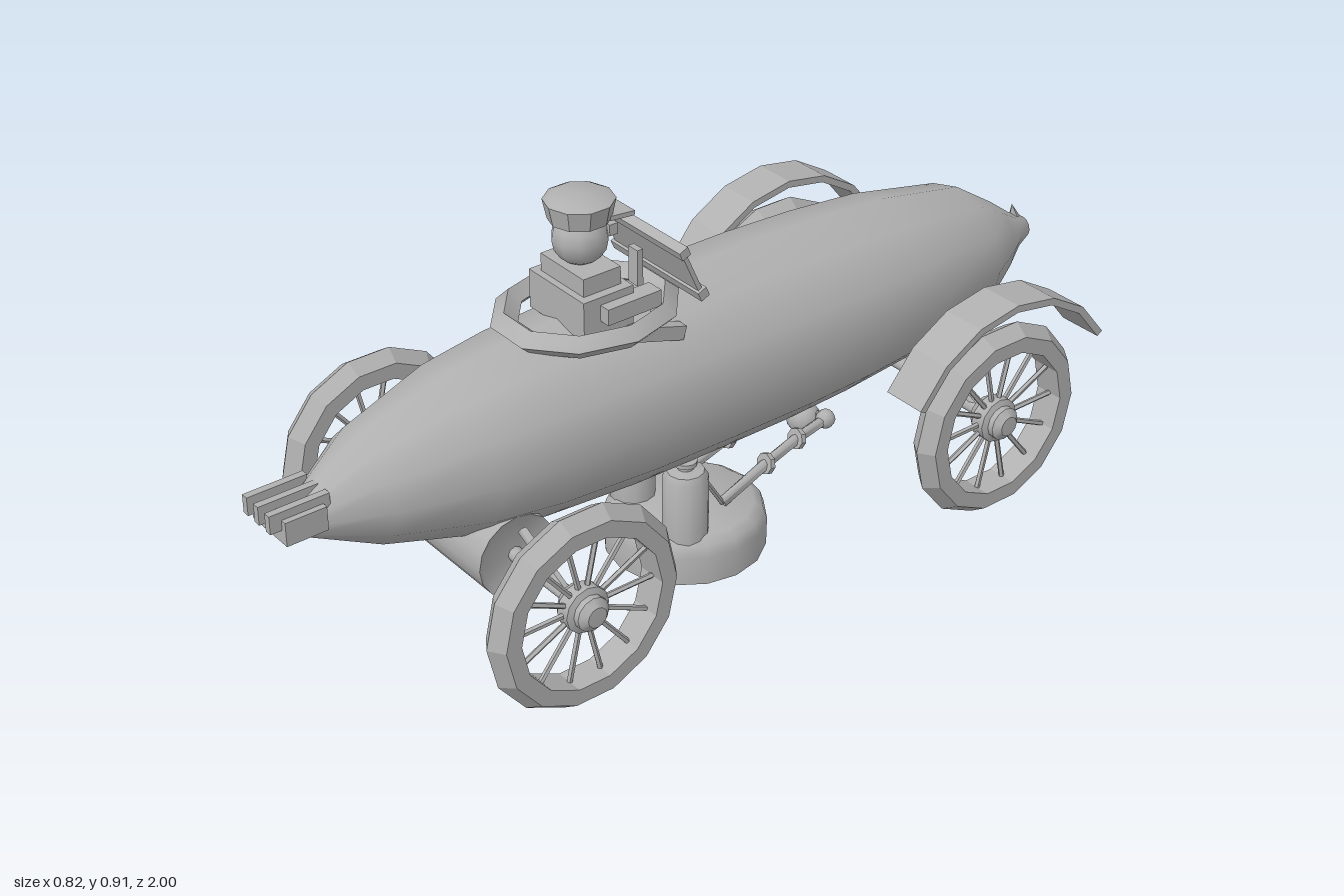
import * as THREE from 'three';
import { toCreasedNormals } from 'three/addons/utils/BufferGeometryUtils.js';

const gray = new THREE.MeshStandardMaterial({ color: 0xb0b0b0 });
gray.name = 'plain gray';

const V = (x, y, z) => new THREE.Vector3(x, y, z);
const crease = (geo, angle = 0.6) => toCreasedNormals(geo, angle);
const lathe = (pts, sides) => new THREE.LatheGeometry(pts.map(([r, y]) => new THREE.Vector2(r, y)), sides);
const box = (w, h, d) => new THREE.BoxGeometry(w, h, d);

function add(parent, name, geo, x = 0, y = 0, z = 0) {
  const mesh = new THREE.Mesh(geo, gray);
  mesh.name = name;
  mesh.position.set(x, y, z);
  parent.add(mesh);
  return mesh;
}

// Straight round bar between two points
function rod(parent, name, a, b, r, sides = 6) {
  const mesh = add(parent, name, crease(new THREE.CylinderGeometry(r, r, a.distanceTo(b), sides), 1.1));
  mesh.position.copy(a).lerp(b, 0.5);
  mesh.quaternion.setFromUnitVectors(V(0, 1, 0), b.clone().sub(a).normalize());
  return mesh;
}

// Wheel built around the y axis, then laid on its x axle with the outer face at +x
function makeWheel() {
  const wheel = new THREE.Group();
  const tire = [[0.165, -0.033], [0.2, -0.033], [0.222, 0], [0.2, 0.033], [0.165, 0.033], [0.165, -0.033]];
  add(wheel, 'tire', crease(lathe(tire, 14), 0.3));
  const hub = [[0, -0.035], [0.035, -0.035], [0.05, -0.015], [0.05, 0.015], [0.037, 0.02], [0.037, 0.033], [0.022, 0.046], [0, 0.047]];
  add(wheel, 'hub', crease(lathe(hub, 12)));
  for (let i = 0; i < 14; i++) {
    const a = ((i + 0.5) / 14) * Math.PI * 2;
    const c = Math.cos(a), s = Math.sin(a);
    rod(wheel, 'spoke', V(c * 0.03, 0, s * 0.03), V(c * 0.17, 0, s * 0.17), 0.006, 5);
  }
  wheel.rotation.z = -Math.PI / 2;
  return wheel;
}

// Arched mudguard strip
function fenderGeometry() {
  const shape = new THREE.Shape();
  const steps = 6, a0 = 0.5, a1 = Math.PI - 0.5;
  for (let i = 0; i <= steps; i++) {
    const a = a0 + (a1 - a0) * i / steps;
    shape[i ? 'lineTo' : 'moveTo'](0.3 * Math.cos(a), 0.295 * Math.sin(a));
  }
  for (let i = steps; i >= 0; i--) {
    const a = a0 + (a1 - a0) * i / steps;
    shape.lineTo(0.284 * Math.cos(a), 0.279 * Math.sin(a));
  }
  const geo = new THREE.ExtrudeGeometry(shape, { depth: 0.1, bevelEnabled: false });
  geo.translate(0, 0, -0.05);
  return crease(geo.rotateY(Math.PI / 2), 0.2);
}

export function createModel() {
  const car = new THREE.Group();
  car.name = 'torpedo car';

  // Torpedo hull
  const profile = [[0, -1], [0.025, -0.985], [0.045, -0.94], [0.085, -0.88], [0.148, -0.77], [0.188, -0.55],
    [0.202, -0.37], [0.208, -0.2], [0.208, 0], [0.206, 0.2], [0.194, 0.42], [0.175, 0.57], [0.118, 0.77], [0.045, 0.9], [0.022, 0.935], [0, 0.945]];
  const hull = lathe(profile, 12).rotateX(Math.PI / 2);
  // Both tips droop slightly
  const p = hull.attributes.position;
  for (let i = 0; i < p.count; i++) {
    const t = Math.max(0, Math.abs(p.getZ(i)) - 0.75) / 0.25;
    p.setY(i, p.getY(i) - 0.022 * t);
  }
  add(car, 'hull', hull, 0, 0.457, 0);
  add(car, 'tip cap', new THREE.SphereGeometry(0.026, 8, 6), 0, 0.438, -0.965);
  const fin = add(car, 'tip fin', crease(new THREE.ConeGeometry(0.025, 0.06, 4)), 0, 0.475, -0.955);
  fin.rotation.x = 0.25;

  // Exhaust fork
  add(car, 'fork plate', box(0.122, 0.052, 0.09), 0, 0.463, 0.93);
  for (const x of [-0.04, 0, 0.04]) add(car, 'fork prong', box(0.016, 0.04, 0.13), x, 0.487, 0.935);

  // Wheels, axles, struts and mudguards
  for (const z of [0.525, -0.555]) {
    rod(car, 'axle', V(-0.4, 0.27, z), V(0.4, 0.27, z), 0.016, 8);
    for (const s of [1, -1]) {
      const side = new THREE.Group();
      side.name = (z > 0 ? 'front' : 'rear') + (s > 0 ? ' left wheel' : ' right wheel');
      side.position.set(0.363 * s, 0.27, z);
      side.rotation.y = s > 0 ? 0 : Math.PI;
      side.add(makeWheel());
      car.add(side);
      rod(car, 'axle strut', V(0.17 * s, 0.34, z), V(0.31 * s, 0.275, z), 0.011);
      if (z < 0) add(car, 'mudguard', fenderGeometry(), 0.36 * s, 0.267, z);
    }
  }

  // Transverse drum under the hull
  const drum = [[0, -0.14], [0.078, -0.142], [0.09, -0.15], [0.09, 0.15], [0.078, 0.142], [0, 0.14]];
  add(car, 'drum', crease(lathe(drum, 16).rotateZ(Math.PI / 2)), 0, 0.27, 0.525);

  // Floor tank with two bottles and jointed pipes
  const tank = [[0, 0], [0.175, 0], [0.176, 0.065], [0.168, 0.09], [0.148, 0.103], [0, 0.103]];
  add(car, 'floor tank', crease(lathe(tank, 16), 0.8), 0, 0, -0.01);
  const bottle = [[0, 0.09], [0.049, 0.09], [0.049, 0.235], [0.04, 0.25], [0.018, 0.255], [0.018, 0.262], [0.025, 0.264], [0.025, 0.274], [0, 0.278]];
  for (const s of [1, -1]) {
    add(car, 'bottle', crease(lathe(bottle, 12), 0.8), 0.09 * s, 0, 0.06);
    const path = [V(0.09 * s, 0.26, 0.045), V(0.07 * s, 0.11, -0.055), V(0.065 * s, 0.155, -0.18), V(0.06 * s, 0.18, -0.27), V(0.05 * s, 0.19, -0.36)];
    for (let i = 0; i < 4; i++) {
      rod(car, 'pipe', path[i], path[i + 1], i ? 0.012 : 0.006);
      if (i > 1) {
        const joint = add(car, 'pipe joint', crease(new THREE.CylinderGeometry(0.024, 0.024, 0.012, 8)));
        joint.position.copy(path[i]);
        joint.rotation.x = Math.PI / 2 - 0.25;
      }
    }
    add(car, 'pipe end', new THREE.SphereGeometry(0.022, 8, 6), 0.05 * s, 0.19, -0.36);
  }
  add(car, 'pipe ball', new THREE.SphereGeometry(0.038, 12, 8), 0, 0.178, -0.34);
  rod(car, 'pipe bridge', V(-0.05, 0.19, -0.355), V(0.05, 0.19, -0.355), 0.01);

  // Cockpit rim and side brackets
  const rim = new THREE.TorusGeometry(0.146, 0.025, 4, 10).rotateX(Math.PI / 2).scale(1, 1, 1.18);
  add(car, 'cockpit rim', crease(rim, 0.7), 0, 0.658, 0.24);
  for (const s of [1, -1]) {
    const bracket = add(car, 'rim bracket', box(0.025, 0.03, 0.12), 0.13 * s, 0.632, 0.16);
    bracket.rotation.x = -0.3;
  }

  // Tilted windscreen
  const screen = new THREE.Group();
  screen.name = 'windscreen';
  screen.position.set(0, 0.735, 0.078);
  screen.rotation.x = 0.42;
  add(screen, 'screen panel', box(0.27, 0.12, 0.01));
  add(screen, 'screen top rail', box(0.284, 0.02, 0.022), 0, 0.06, 0);
  add(screen, 'screen sill', box(0.284, 0.022, 0.022), 0, -0.055, 0);
  car.add(screen);
  add(car, 'steering post', box(0.03, 0.08, 0.014), 0, 0.71, 0.115);

  // Driver, looking towards -z
  const driver = new THREE.Group();
  driver.name = 'driver';
  driver.position.set(0, 0, 0.25);
  add(driver, 'chest', box(0.14, 0.12, 0.09), 0, 0.708, 0);
  add(driver, 'lower torso', box(0.18, 0.085, 0.12), 0, 0.687, 0);
  for (const s of [1, -1]) add(driver, 'arm', box(0.04, 0.035, 0.13), 0.095 * s, 0.695, -0.045);
  add(driver, 'head', new THREE.SphereGeometry(0.058, 10, 8), 0, 0.82, 0);
  const cap = [[0, 0.855], [0.063, 0.86], [0.072, 0.902], [0.055, 0.911], [0, 0.914]];
  add(driver, 'cap', crease(lathe(cap, 10), 0.5));
  const brim = add(driver, 'cap brim', box(0.09, 0.01, 0.06), 0, 0.859, -0.07);
  brim.rotation.x = -0.1;
  add(driver, 'goggles', box(0.07, 0.024, 0.02), 0, 0.83, -0.056);
  car.add(driver);

  return car;
}
